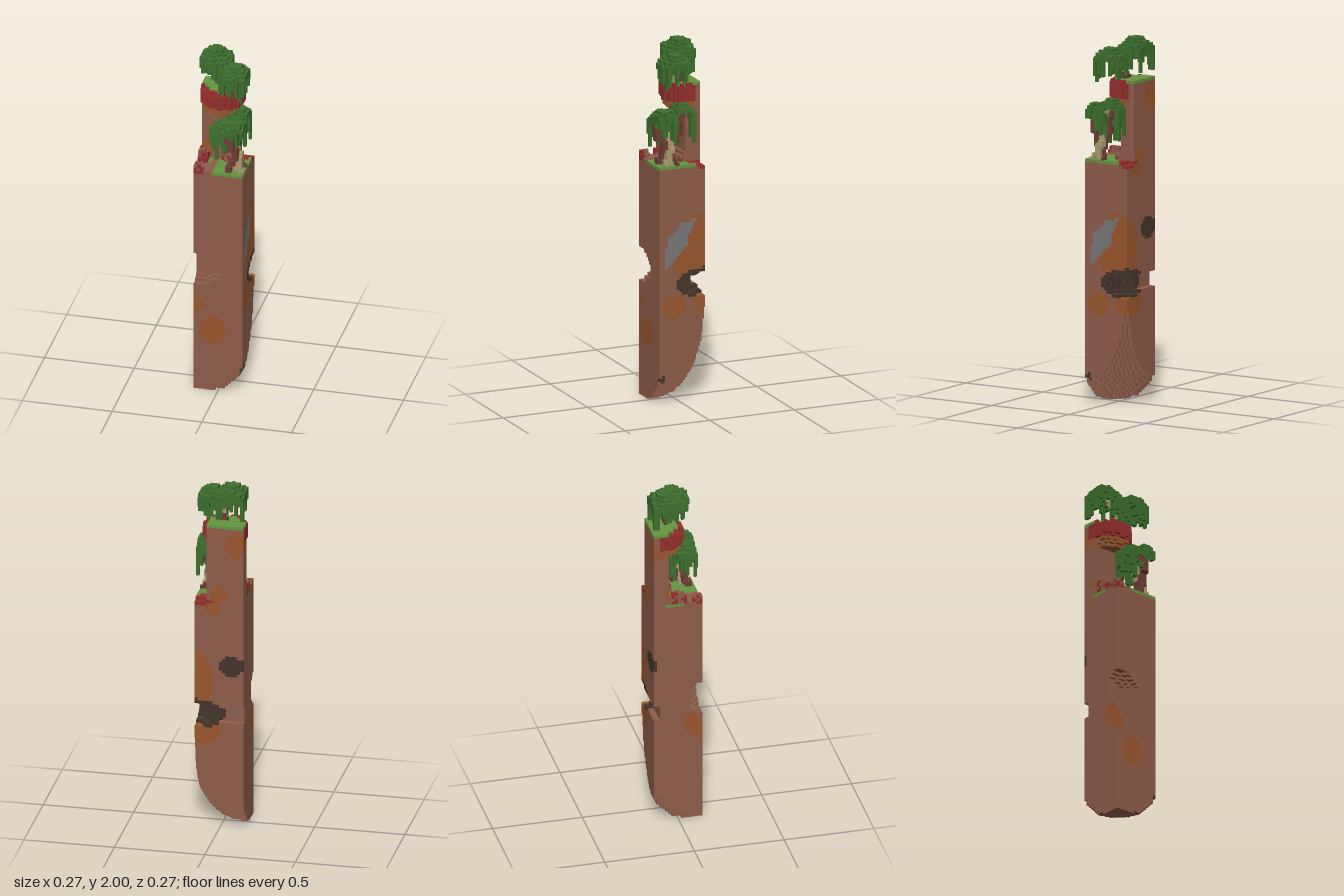
import * as THREE from 'three';

const N = 16, H = 118, S = 2 / H, HALF = N * S / 2;
const mat = (name, color) => Object.assign(new THREE.MeshStandardMaterial({ color }), { name });

// small repeatable noise per cell
const hash = (a, b, c = 0) => {
  const v = Math.sin(a * 127.1 + b * 311.7 + c * 74.7) * 43758.5453;
  return v - Math.floor(v);
};
const inside = (x, y, z, [cx, cy, cz, rx, ry, rz]) =>
  ((x - cx) / rx) ** 2 + ((y - cy) / ry) ** 2 + ((z - cz) / rz) ** 2 < 1;
const lerp = (pts, t) => {
  for (let i = 1; i < pts.length; i++) {
    const [a, va] = pts[i - 1], [b, vb] = pts[i];
    if (t <= b) return va + (vb - va) * (t - a) / (b - a);
  }
  return pts[pts.length - 1][1];
};
const inPolygon = (px, py, pts) => pts.reduce((odd, [x, y], i) => {
  const [u, v] = pts[(i + 1) % pts.length];
  return (y > py) !== (v > py) && px < (u - x) * (py - y) / (v - y) + x ? !odd : odd;
}, false);

// the six cube faces: normal and four corners, counter-clockwise from outside
const FACES = [
  [[1, 0, 0], [[1, 0, 1], [1, 0, 0], [1, 1, 0], [1, 1, 1]]],
  [[-1, 0, 0], [[0, 0, 0], [0, 0, 1], [0, 1, 1], [0, 1, 0]]],
  [[0, 1, 0], [[0, 1, 1], [1, 1, 1], [1, 1, 0], [0, 1, 0]]],
  [[0, -1, 0], [[0, 0, 0], [1, 0, 0], [1, 0, 1], [0, 0, 1]]],
  [[0, 0, 1], [[0, 0, 1], [1, 0, 1], [1, 1, 1], [0, 1, 1]]],
  [[0, 0, -1], [[1, 0, 0], [0, 0, 0], [0, 1, 0], [1, 1, 0]]],
];

export function createModel() {
  const rock = mat('brown rock', 0x8e5c49), ochre = mat('ochre rock', 0x99562d);
  const dark = mat('dark rock', 0x43342b), stone = mat('grey stone', 0x777777);
  const grass = mat('grass', 0x659540), red = mat('red earth', 0x932e2c);
  const leaf = mat('leaves', 0x3d6e2d), pale = mat('pale bark', 0xab9a70);
  const bark = mat('red bark', 0x6e3c35);

  const cells = new Map(); // cell -> { part, material }
  const key = (i, j, k) => i + j * 100 + k * 100000;
  const valid = (i, j, k) => i >= 0 && i < N && k >= 0 && k < N && j >= 0 && j < H;
  const put = (part, i, j, k, material) => {
    if (valid(i, j, k) && !cells.has(key(i, j, k))) cells.set(key(i, j, k), { part, material });
  };
  // fill the cells between two heights by a rule that returns a material or nothing
  const fill = (part, y0, y1, rule) => {
    for (let j = Math.round(y0 / S); j < Math.round(y1 / S); j++)
      for (let i = 0; i < N; i++)
        for (let k = 0; k < N; k++) {
          const m = rule((i + 0.5) * S - HALF, (j + 0.5) * S, (k + 0.5) * S - HALF, i, j, k);
          if (m) put(part, i, j, k, m);
        }
  };

  // main column: rounded foot, hollows and coloured rock patches
  const foot = [[0, 6.2], [2, 11], [5, 14], [9, 16.3], [13, 18], [21, 20.4], [28, 21.3], [36, 23]];
  const hollow = [0.14, 0.66, -0.14, 0.14, 0.065, 0.14];
  const hollowWall = [0.14, 0.67, -0.14, 0.18, 0.085, 0.17];
  const cornerCave = [-0.14, 0.735, 0.14, 0.155, 0.1, 0.08];
  const ochreSpots = [
    [-0.03, 0.37, 0.135, 0.075, 0.085, 0.06], [-0.115, 0.515, 0.135, 0.03, 0.045, 0.04],
    [0.135, 0.86, -0.08, 0.11, 0.19, 0.14], [0.135, 0.55, 0.045, 0.04, 0.07, 0.07],
    [0.1, 0.57, -0.13, 0.12, 0.08, 0.07], [-0.135, 0.58, 0.08, 0.04, 0.07, 0.05],
    [0.04, 1.3, -0.135, 0.05, 0.05, 0.04],
  ];
  const darkSpots = [[-0.07, 0.96, -0.135, 0.075, 0.06, 0.03], [0.135, 0.13, 0.115, 0.03, 0.035, 0.018]];
  const slab = [[0.1, 0.76], [0.09, 0.93], [0.04, 0.97], [0, 1.02], [-0.08, 1.03], [-0.04, 0.94], [-0.03, 0.88], [0.04, 0.82]];
  fill('column', 0, 1.34, (x, y, z, i, j, k) => {
    if (Math.hypot(i + 0.5, N - k - 0.5) > lerp(foot, j + 0.5)) return null;
    if (inside(x, y, z, hollow) || inside(x, y, z, cornerCave)) return null;
    if (z < -0.1 && Math.abs(y - 0.665) < 0.045) return null;
    if (j === 78) {
      if (x > 0.06 && z < -0.1) return null;
      if (x > 0.03 && z < -0.055) return Math.abs(x - 0.07) < 0.045 || hash(i, k) < 0.5 ? red : grass;
      if (x > -0.04 && z > -0.06) return grass;
      if (x < -0.085 && z > 0.1) return red;
      if (x < -0.06 && z < 0.03 && z > -0.06) return grass;
    }
    if (j === 77 && x > 0.06 && z < -0.1) return red;
    if (i === N - 1 && inPolygon(z, y, slab)) return stone;
    const hit = (e) => inside(x, y, z, e);
    if (hit(hollowWall) && y > 0.6 || darkSpots.some(hit)) return dark;
    return ochreSpots.some(hit) ? ochre : rock;
  });

  // upper tower at the back
  const towerSpots = [[0, 1.37, -0.135, 0.05, 0.05, 0.04], [-0.09, 1.67, -0.135, 0.05, 0.08, 0.04], [-0.1, 1.4, -0.05, 0.04, 0.04, 0.03]];
  fill('tower', 1.34, 1.76, (x, y, z, i, j, k) => {
    if (x > 0.06 || z > -0.05 + (y < 1.39 ? 0.02 : 0)) return null;
    if (y > 1.62 && z > -0.1) return null;
    return towerSpots.some((e) => inside(x, y, z, e)) ? ochre : rock;
  });

  // overhanging cap with red earth and a grassy top
  const capProfile = [[1.61, 0.5], [1.66, 0.85], [1.7, 1], [1.75, 1], [1.79, 0.85]];
  fill('cap', 1.62, 1.78, (x, y, z, i, j, k) => {
    const r = Math.hypot((x + 0.02) / 0.118, (z + 0.05) / 0.098) / lerp(capProfile, y);
    const onTower = x < 0.06 && z < -0.05;
    if (r > 1 && !onTower) return null;
    if (y > 1.755) return r > 0.8 && !onTower ? (hash(i, k, j) < 0.7 ? red : null) : grass;
    return y < 1.67 ? (hash(i, j, k) < 0.12 ? rock : ochre) : red;
  });

  // low rubble on the ledge
  const rubble = [[-0.13, 1.34, 0, 0.05, 0.07, 0.05], [-0.13, 1.34, 0.12, 0.04, 0.04, 0.04], [0.03, 1.34, -0.03, 0.04, 0.04, 0.03]];
  fill('rubble', 1.34, 1.42, (x, y, z, i, j, k) =>
    rubble.some((e) => inside(x, y, z, e)) ? (hash(i, j, k) < 0.35 ? red : rock) : null);

  // trunks and branches: cells along a bent line
  const limb = (part, material, points, width = 1) => {
    const path = new THREE.CatmullRomCurve3(points.map((p) => new THREE.Vector3(...p)));
    for (const p of path.getSpacedPoints(40)) {
      const i = Math.floor((p.x + HALF) / S), j = Math.floor(p.y / S), k = Math.floor((p.z + HALF) / S);
      for (let a = 0; a < width; a++) for (let b = 0; b < width; b++) put(part, i + a, j, k + b, material);
    }
  };
  limb('lowerTrunk', pale, [[0.08, 1.345, 0.06], [0.09, 1.42, 0.05], [0.06, 1.5, 0.04], [0.07, 1.6, 0.03]], 2);
  limb('lowerTrunk', bark, [[0.12, 1.345, 0.03], [0.07, 1.42, 0.04], [0.1, 1.5, 0.0], [0.1, 1.62, -0.02]]);
  limb('lowerTrunk', bark, [[0.04, 1.345, 0.09], [0.08, 1.45, 0.07], [0.06, 1.5, 0.11], [0.04, 1.57, 0.1]], 2);
  limb('lowerTrunk', pale, [[0.12, 1.345, 0.1], [0.09, 1.4, 0.06]]);
  limb('upperTrunk', pale, [[-0.01, 1.77, -0.03], [0.0, 1.84, -0.03], [-0.02, 1.9, -0.05], [-0.05, 1.95, -0.06]]);
  limb('upperTrunk', bark, [[0.02, 1.77, -0.04], [0.01, 1.84, -0.02], [0.03, 1.88, -0.01], [0.06, 1.91, 0.0]]);
  limb('upperTrunk', bark, [[-0.03, 1.77, -0.05], [0.0, 1.81, -0.04]]);

  // weeping crowns: a domed roof with strands hanging from its rim
  const crown = (part, cx, cz, rx, rz, top, drop) => {
    for (let i = 0; i < N; i++) for (let k = 0; k < N; k++) {
      const r = Math.hypot(((i + 0.5) * S - HALF - cx) / rx, ((k + 0.5) * S - HALF - cz) / rz);
      const n = hash(i, k, top);
      if (r > 1) continue;
      const roof = Math.round(top / S) - 1 - Math.round(2.6 * r * r + (r > 0.5 ? n : 0));
      const strand = r > 0.62 && hash(k, i, cx) < 0.62;
      const depth = strand ? 3 + Math.round(n * drop) : 2 + Math.round(n * 1.2);
      for (let j = roof; j > roof - depth; j--) put(part, i, j, k, leaf);
    }
  };
  crown('upperCrown', -0.06, -0.065, 0.095, 0.095, 2, 6);
  crown('upperCrown', 0.065, 0.015, 0.085, 0.09, 1.955, 5);
  crown('lowerCrown', 0.09, -0.015, 0.075, 0.075, 1.68, 7);
  crown('lowerCrown', 0.025, 0.065, 0.085, 0.085, 1.625, 6);
  crown('lowerCrown', 0.095, 0.09, 0.075, 0.075, 1.64, 7);

  // outer faces of the cells, one mesh for each part and colour
  const surfaces = new Map();
  for (const [id, { part, material }] of cells) {
    const k = Math.floor(id / 100000), j = Math.floor((id % 100000) / 100), i = id % 100;
    for (const [n, corners] of FACES) {
      const p = [i + n[0], j + n[1], k + n[2]];
      if (valid(...p) && cells.has(key(...p))) continue;
      const name = part + '|' + material.name;
      if (!surfaces.has(name)) surfaces.set(name, { part, material, pos: [], nor: [], idx: [] });
      const s = surfaces.get(name), b = s.pos.length / 3;
      for (const [a, h, c] of corners) {
        s.pos.push((i + a) * S - HALF, (j + h) * S, (k + c) * S - HALF);
        s.nor.push(...n);
      }
      s.idx.push(b, b + 1, b + 2, b, b + 2, b + 3);
    }
  }
  const model = new THREE.Group(), groups = {};
  model.name = 'rockPillar';
  for (const { part, material, pos, nor, idx } of surfaces.values()) {
    const geometry = new THREE.BufferGeometry();
    geometry.setAttribute('position', new THREE.Float32BufferAttribute(pos, 3));
    geometry.setAttribute('normal', new THREE.Float32BufferAttribute(nor, 3));
    geometry.setIndex(idx);
    const mesh = new THREE.Mesh(geometry, material);
    mesh.name = part + ' ' + material.name;
    if (!groups[part]) {
      groups[part] = new THREE.Group();
      groups[part].name = part;
      model.add(groups[part]);
    }
    groups[part].add(mesh);
  }
  return model;
}
